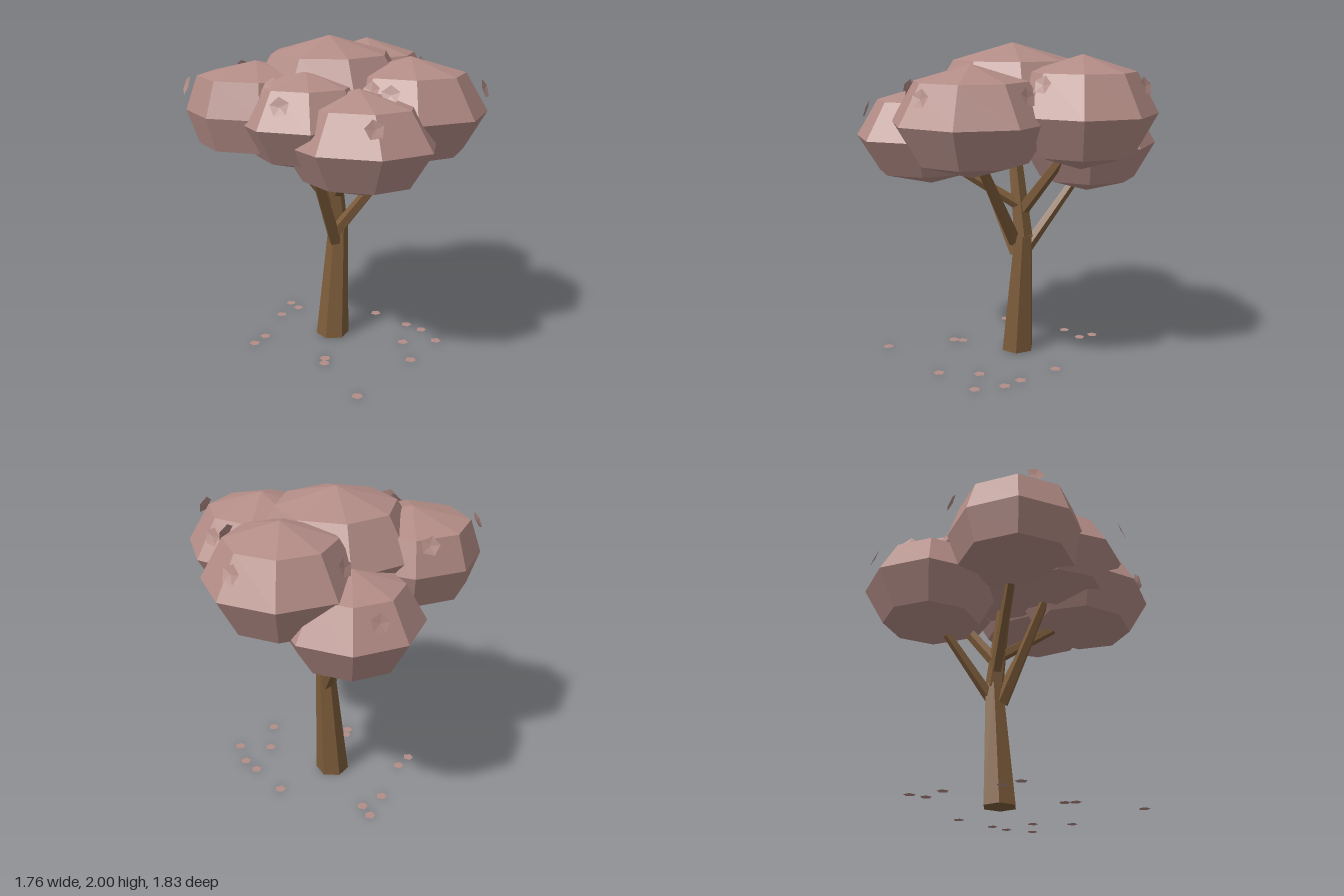
import * as THREE from 'three';

const bark = new THREE.MeshStandardMaterial({ color: 0x7d5c3a, flatShading: true });
const foliage = new THREE.MeshStandardMaterial({ color: 0xb38c86, flatShading: true });
const petal = new THREE.MeshStandardMaterial({ color: 0xb38c86, flatShading: true, side: THREE.DoubleSide });

// Foliage clumps: centre x, y, z, radii x, y, z, turn in degrees, swell of the upper and lower rings
const clumps = {
  crown: [-0.025, 1.64, -0.045, 0.52, 0.36, 0.52, 18, 1],
  frontLeft: [0.28, 1.56, 0.36, 0.475, 0.33, 0.475, 34, 1],
  backLeft: [0.44, 1.6, -0.28, 0.455, 0.34, 0.45, 28, 1],
  backRight: [-0.45, 1.57, -0.21, 0.425, 0.29, 0.425, 28, 1.18],
  midRight: [-0.33, 1.54, 0.15, 0.41, 0.295, 0.42, 30, 1],
  front: [-0.17, 1.44, 0.45, 0.42, 0.31, 0.485, -20, 1],
  back: [0.12, 1.37, -0.51, 0.43, 0.315, 0.43, 27, 1],
};

// Limbs: start, end, start radius, end radius
const branches = {
  crown: [[0.065, 0.77, -0.08], [-0.03, 1.5, -0.04], 0.062, 0.038],
  frontLeft: [[0.03, 0.74, -0.04], [0.31, 1.36, 0.34], 0.043, 0.03],
  backLeft: [[0.04, 0.93, -0.07], [0.38, 1.42, -0.27], 0.043, 0.03],
  backRight: [[0.05, 0.86, -0.08], [-0.36, 1.42, -0.18], 0.042, 0.03],
  midRight: [[0.02, 0.66, -0.05], [-0.28, 1.32, 0.11], 0.042, 0.03],
  front: [[0.04, 0.99, -0.05], [-0.13, 1.28, 0.38], 0.038, 0.028],
  back: [[0.07, 0.7, -0.1], [0.14, 1.2, -0.46], 0.04, 0.027],
};

// Blossoms resting on the foliage
const blossoms = [
  [-0.85, 1.73, -0.31], [-0.33, 1.76, -0.59], [0.16, 1.53, -0.89], [0.24, 1.76, -0.64],
  [0.8, 1.77, -0.47], [0.62, 1.78, 0.07], [0.66, 1.72, 0.19], [0.51, 1.72, 0.74],
  [-0.06, 1.72, 0.6], [-0.1, 1.73, 0.48], [-0.33, 1.59, 0.8], [-0.67, 1.69, 0.42], [-0.57, 1.76, 0.16],
];

// Fallen blossoms: x, z on the ground
const fallen = [
  [-0.51, -0.22], [-0.4, -0.27], [-0.13, -0.5], [0.03, -0.63], [0.03, -0.53], [-0.29, 0.27], [-0.25, 0.22],
  [0.43, -0.13], [-0.36, 0.71], [0.18, 0.55], [0.3, 0.33], [0.49, 0.14], [0.52, 0.26], [0.49, 0.44],
];

// Five-petalled blossom facing +z, its centre sunk by the given depth
function blossomGeometry(radius, depth) {
  const geometry = new THREE.CircleGeometry(radius, 10);
  const p = geometry.attributes.position;
  p.setZ(0, -depth);
  for (let i = 1; i < p.count; i++) {
    const k = i % 2 ? 1 : 0.8;
    p.setXYZ(i, p.getX(i) * k, p.getY(i) * k, 0);
  }
  return geometry;
}

// Eight-sided clump of unit radius with its rings above and below the middle swollen
function clumpGeometry(swell) {
  const geometry = new THREE.SphereGeometry(1, 8, 4);
  const p = geometry.attributes.position;
  for (let i = 0; i < p.count; i++) {
    if (Math.abs(p.getY(i)) < 0.1) continue;
    p.setX(i, p.getX(i) * swell);
    p.setZ(i, p.getZ(i) * swell);
  }
  return geometry;
}

function limb(name, [from, to, r0, r1]) {
  const a = new THREE.Vector3(...from);
  const b = new THREE.Vector3(...to);
  const mesh = new THREE.Mesh(new THREE.CylinderGeometry(r1, r0, a.distanceTo(b), 5), bark);
  mesh.name = name;
  mesh.position.copy(a).lerp(b, 0.5);
  mesh.quaternion.setFromUnitVectors(new THREE.Vector3(0, 1, 0), b.sub(a).normalize());
  return mesh;
}

export function createModel() {
  const tree = new THREE.Group();
  tree.name = 'blossomTree';

  // Six-sided trunk, leaning but cut level at both ends
  const height = 0.79;
  const trunkGeometry = new THREE.CylinderGeometry(0.062, 0.108, height, 6);
  trunkGeometry.translate(0, height / 2, 0);
  const p = trunkGeometry.attributes.position;
  for (let i = 0; i < p.count; i++) {
    const t = p.getY(i) / height;
    p.setX(i, p.getX(i) + 0.01 + 0.057 * t);
    p.setZ(i, p.getZ(i) - 0.067 - 0.013 * t);
  }
  const trunk = new THREE.Mesh(trunkGeometry, bark);
  trunk.name = 'trunk';
  tree.add(trunk);

  for (const [name, spec] of Object.entries(branches)) tree.add(limb(name + 'Branch', spec));

  // Flattened foliage clumps
  for (const [name, [x, y, z, rx, ry, rz, turn, swell]] of Object.entries(clumps)) {
    const clump = new THREE.Mesh(clumpGeometry(swell), foliage);
    clump.name = name + 'Foliage';
    clump.scale.set(rx, ry, rz);
    clump.position.set(x, y, z);
    clump.rotation.y = -THREE.MathUtils.degToRad(turn);
    tree.add(clump);
  }

  // Blossoms face outward from the clump they sit on
  const blossomShape = blossomGeometry(0.058, 0.006);
  blossoms.forEach((at, i) => {
    const pos = new THREE.Vector3(...at);
    let best = Infinity;
    const normal = new THREE.Vector3();
    for (const [x, y, z, rx, ry, rz] of Object.values(clumps)) {
      const d = new THREE.Vector3(pos.x - x, pos.y - y, pos.z - z);
      const gap = Math.abs(Math.hypot(d.x / rx, d.y / ry, d.z / rz) - 1);
      if (gap < best) {
        best = gap;
        normal.copy(d).normalize();
      }
    }
    const blossom = new THREE.Mesh(blossomShape, petal);
    blossom.name = 'blossom';
    blossom.position.copy(pos).addScaledVector(normal, 0.012);
    blossom.lookAt(blossom.position.clone().add(normal));
    blossom.rotateZ(i * 1.3);
    tree.add(blossom);
  });

  // Fallen blossoms lying flat on the ground
  const fallenShape = blossomGeometry(0.036, 0);
  fallen.forEach(([x, z], i) => {
    const blossom = new THREE.Mesh(fallenShape, petal);
    blossom.name = 'fallenBlossom';
    blossom.position.set(x, 0.004, z);
    blossom.rotation.set(-Math.PI / 2, 0, i * 1.3);
    tree.add(blossom);
  });

  return tree;
}
